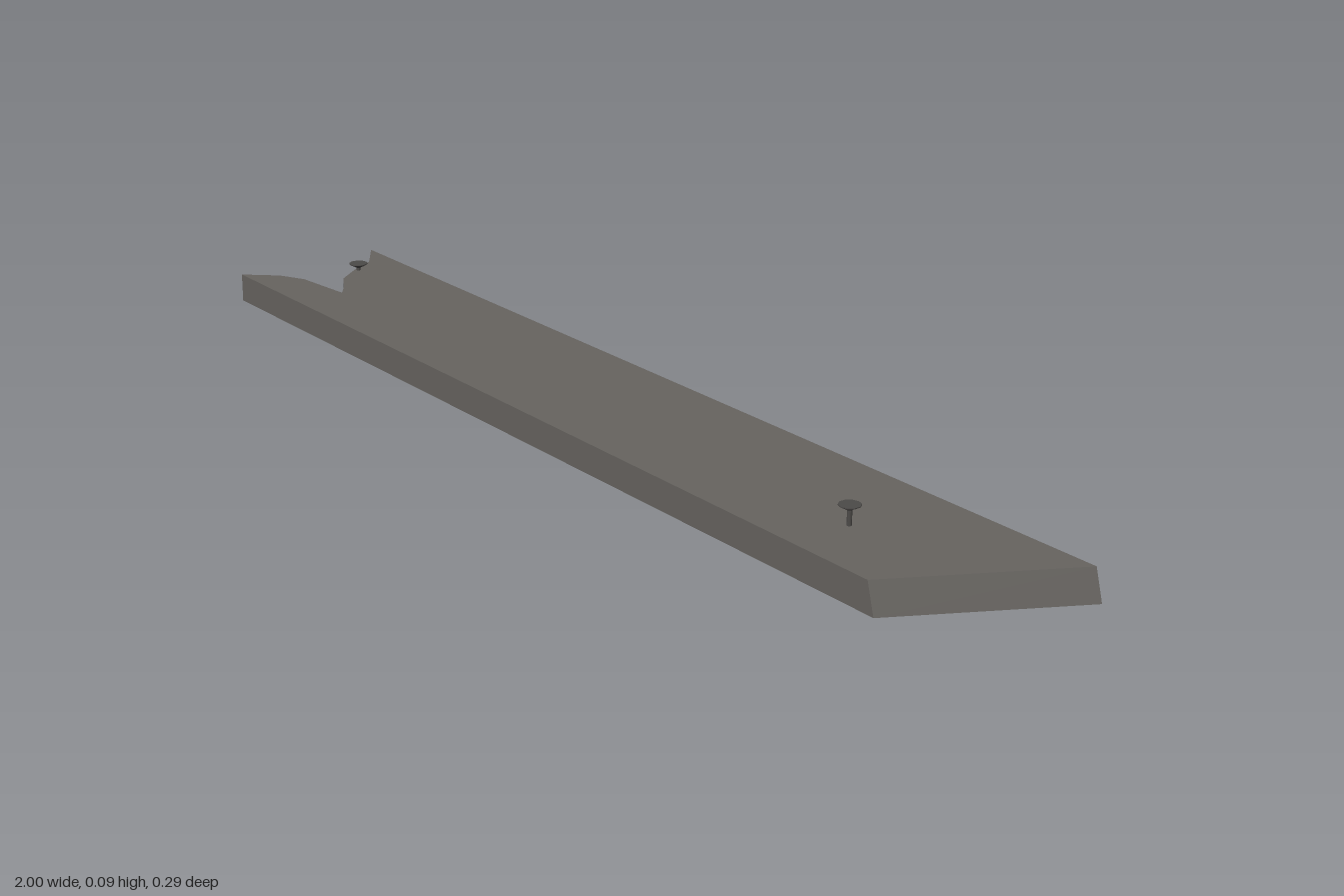
import * as THREE from 'three';

const THICKNESS = 0.053;

// Plank outline as [x on top, z on top, x below, z below], counter-clockwise from above
const OUTLINE = [
  [0.83, 0.147, 0.845, 0.147],
  [0.985, -0.147, 1, -0.147],
  [-1, -0.147, -1, -0.147],
  [-0.93, -0.1, -0.93, -0.1],
  [-0.9, -0.05, -0.92, -0.06],
  [-0.86, 0, -0.865, -0.002],
  [-0.81, 0.028, -0.83, 0.02],
  [-0.78, 0.05, -0.805, 0.038],
  [-0.9, 0.064, -0.9, 0.062],
  [-0.95, 0.09, -0.945, 0.088],
  [-1, 0.147, -1, 0.147],
];

// Board with a mitred end and a splintered end
function plankGeometry() {
  const top = OUTLINE.map(([x, z]) => [x, THICKNESS, z]);
  const bottom = OUTLINE.map(([, , x, z]) => [x, 0, z]);
  const positions = [];
  const triangle = (...corners) => corners.forEach((c) => positions.push(...c));

  // Caps share one triangulation
  const contour = top.map(([x, , z]) => new THREE.Vector2(x, -z));
  for (const [a, b, c] of THREE.ShapeUtils.triangulateShape(contour, [])) {
    triangle(top[a], top[b], top[c]);
    triangle(bottom[c], bottom[b], bottom[a]);
  }
  // Side walls
  for (let i = 0; i < top.length; i++) {
    const j = (i + 1) % top.length;
    triangle(bottom[i], bottom[j], top[j]);
    triangle(bottom[i], top[j], top[i]);
  }
  const geometry = new THREE.BufferGeometry();
  geometry.setAttribute('position', new THREE.Float32BufferAttribute(positions, 3));
  geometry.computeVertexNormals();
  return geometry;
}

// Nail with a thin flared head, its origin at the top of the head
function nailGeometry() {
  const profile = [
    [0, -0.06], [0.004, -0.052], [0.004, -0.009], [0.018, -0.0015], [0.018, 0], [0, 0],
  ].map(([r, y]) => new THREE.Vector2(r, y));
  return new THREE.LatheGeometry(profile, 10);
}

export function createModel() {
  const model = new THREE.Group();
  model.name = 'brokenPlank';

  const wood = new THREE.MeshStandardMaterial({ color: 0x66635f, flatShading: true });
  const iron = new THREE.MeshStandardMaterial({ color: 0x4c4a48, flatShading: true });

  const plank = new THREE.Mesh(plankGeometry(), wood);
  plank.name = 'plank';
  model.add(plank);

  const nail = nailGeometry();
  const nails = [
    ['mitredEndNail', 0.665, 0.087, 0.036],
    ['brokenEndNail', -0.893, 0.067, -0.054],
  ];
  for (const [name, x, y, z] of nails) {
    const mesh = new THREE.Mesh(nail, iron);
    mesh.name = name;
    mesh.position.set(x, y, z);
    model.add(mesh);
  }
  return model;
}
